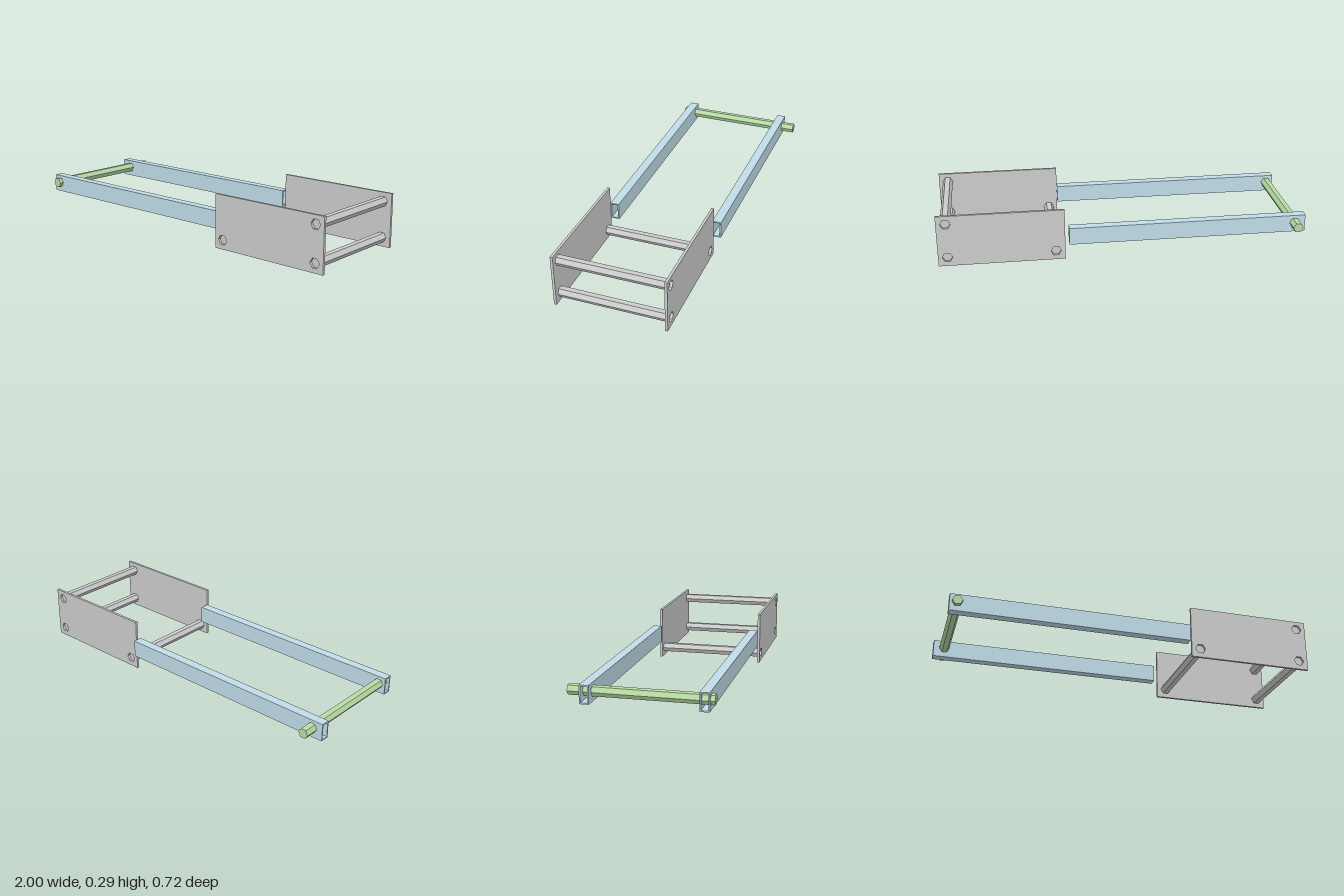
import * as THREE from 'three';

const HEX = 0.028; // corner radius of every hexagonal rod

export function createModel() {
  const model = new THREE.Group();
  model.name = 'frame';

  const mat = (color) => new THREE.MeshStandardMaterial({ color, flatShading: true });
  const grey = mat(0xcccccc), blue = mat(0xc0dce8), green = mat(0xb8dba5);

  const add = (name, geometry, material, x, y, z) => {
    const mesh = new THREE.Mesh(geometry, material);
    mesh.name = name;
    mesh.position.set(x, y, z);
    model.add(mesh);
    return mesh;
  };

  const rect = (Type, x0, y0, x1, y1) => {
    const s = new Type();
    s.moveTo(x0, y0);
    s.lineTo(x1, y0);
    s.lineTo(x1, y1);
    s.lineTo(x0, y1);
    s.closePath();
    return s;
  };

  // Hexagonal bar along z, corners pointing sideways, turned by tilt
  const hexBar = (length, tilt = 0) =>
    new THREE.CylinderGeometry(HEX, HEX, length, 6).rotateX(Math.PI / 2).rotateZ(Math.PI / 2 + tilt);

  // Side plates with hexagonal holes where the spacer rods meet them
  const rodSpots = [[0.95, 0.243], [0.95, 0.05], [0.37, 0.05]];
  const plateShape = rect(THREE.Shape, 0.32, 0, 1, 0.29);
  for (const [x, y] of rodSpots) {
    const corners = [];
    for (let i = 0; i < 6; i++) {
      const a = (-i * Math.PI) / 3;
      corners.push(new THREE.Vector2(x + HEX * Math.cos(a), y + HEX * Math.sin(a)));
    }
    plateShape.holes.push(new THREE.Path(corners));
  }
  const plate = new THREE.ExtrudeGeometry(plateShape, { depth: 0.014, bevelEnabled: false });
  add('frontPlate', plate, grey, 0, 0, 0.339);
  add('backPlate', plate, grey, 0, 0, -0.255);

  // Spacer rods between the inner faces of the plates
  const spacer = hexBar(0.58);
  rodSpots.forEach(([x, y], i) => add(`spacerRod${i + 1}`, spacer, grey, x, y, 0.049));

  // Hollow rectangular arms along x, the back one set slightly further out
  const w = 0.0245, h = 0.0475, wall = 0.007;
  const section = rect(THREE.Shape, -w, -h, w, h);
  section.holes.push(rect(THREE.Path, -w + wall, -h + wall, w - wall, h - wall));
  const arm = new THREE.ExtrudeGeometry(section, { depth: 1.3, bevelEnabled: false }).rotateY(Math.PI / 2);
  add('frontArm', arm, blue, -0.98, 0.1465, 0.3155);
  add('backArm', arm, blue, -1, 0.1465, -0.2645);

  // Cross rod passing through the free ends of both arms
  add('crossRod', hexBar(0.724, THREE.MathUtils.degToRad(5)), green, -0.94, 0.1525, 0);

  return model;
}
